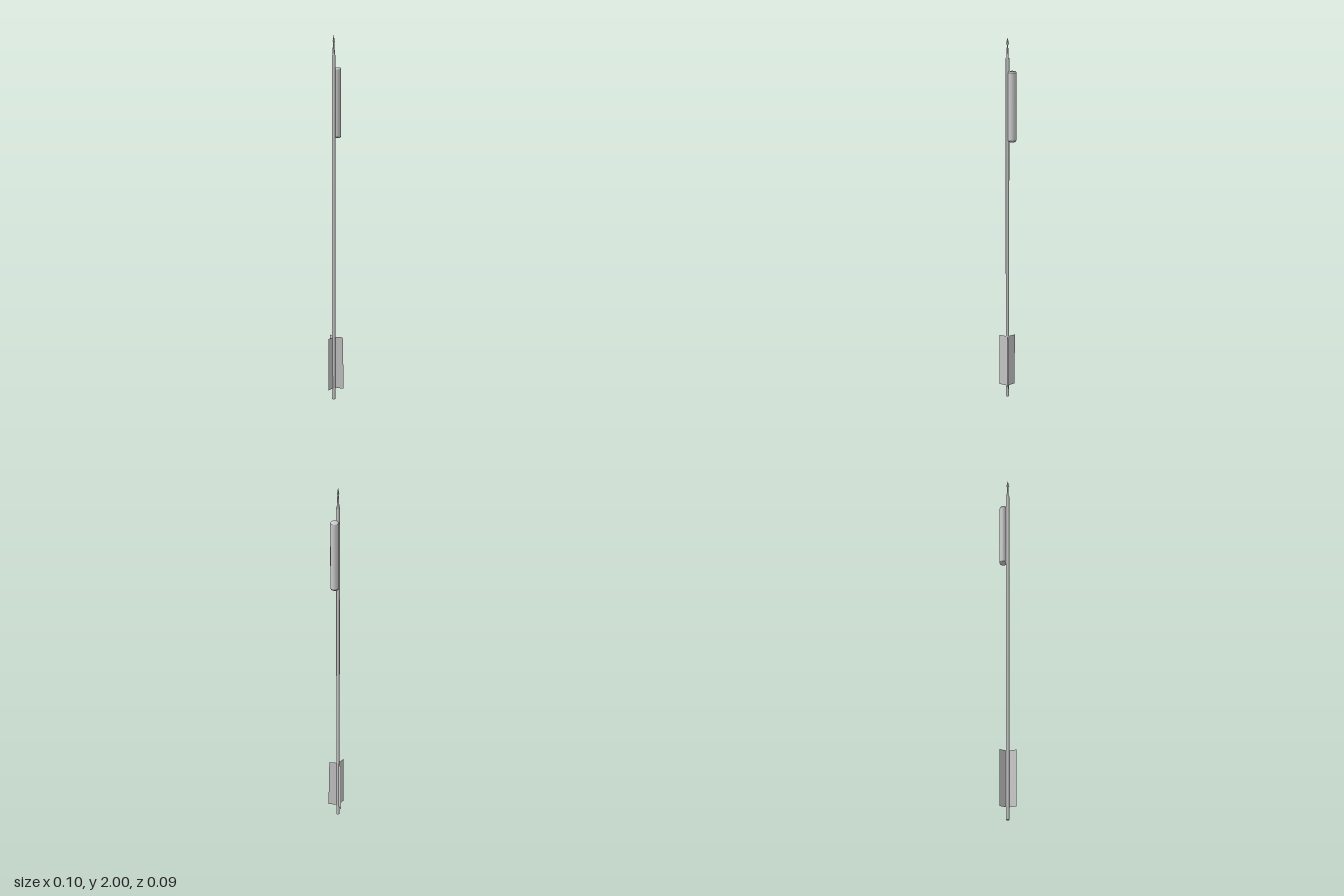
import * as THREE from 'three';

export function createModel() {
  const model = new THREE.Group();
  model.name = 'arrow';
  const AXIS_Z = -0.004;
  const grey = new THREE.MeshStandardMaterial({ color: 0xcccccc });
  const thin = new THREE.MeshStandardMaterial({ color: 0xcccccc, side: THREE.DoubleSide });

  const add = (name, geometry, material, x = 0, y = 0) => {
    const mesh = new THREE.Mesh(geometry, material);
    mesh.name = name;
    mesh.position.set(x, y, AXIS_Z);
    model.add(mesh);
    return mesh;
  };
  const lathe = (points, sides) =>
    new THREE.LatheGeometry(points.map(([r, y]) => new THREE.Vector2(r, y)), sides);

  // Long straight shaft
  add('shaft', new THREE.CylinderGeometry(0.0095, 0.0095, 1.895, 10), grey, 0, 0.9475);

  // Slim tapering neck between shaft and point
  add('neck', new THREE.CylinderGeometry(0.003, 0.007, 0.075, 8), grey, 0, 1.9325);

  // Flat, blade-like point, widest across x
  const point = new THREE.ConeGeometry(0.01, 0.035, 4).scale(1, 1, 0.3);
  add('point', point, grey, 0, 1.9825);

  // Charge tube fixed to the side of the shaft, with bevelled ends
  const tube = lathe([[0, 1.46], [0.018, 1.46], [0.0225, 1.468],
    [0.0225, 1.468], [0.0225, 1.822], [0.0225, 1.822], [0.018, 1.83], [0, 1.83]], 12);
  add('chargeTube', tube, grey, 0.0275);

  // Three thin vanes; the one at the front left flares towards the bottom
  const vanes = [[180, 0.05], [60, 0.05], [-60, 0.056]];
  vanes.forEach(([degrees, foot], i) => {
    const shape = new THREE.Shape();
    shape.moveTo(0, 0.063);
    shape.lineTo(foot, 0.063);
    shape.lineTo(0.05, 0.36);
    shape.lineTo(0, 0.36);
    const vane = add('vane' + (i + 1), new THREE.ShapeGeometry(shape), thin);
    vane.rotation.y = THREE.MathUtils.degToRad(degrees);
  });

  return model;
}
